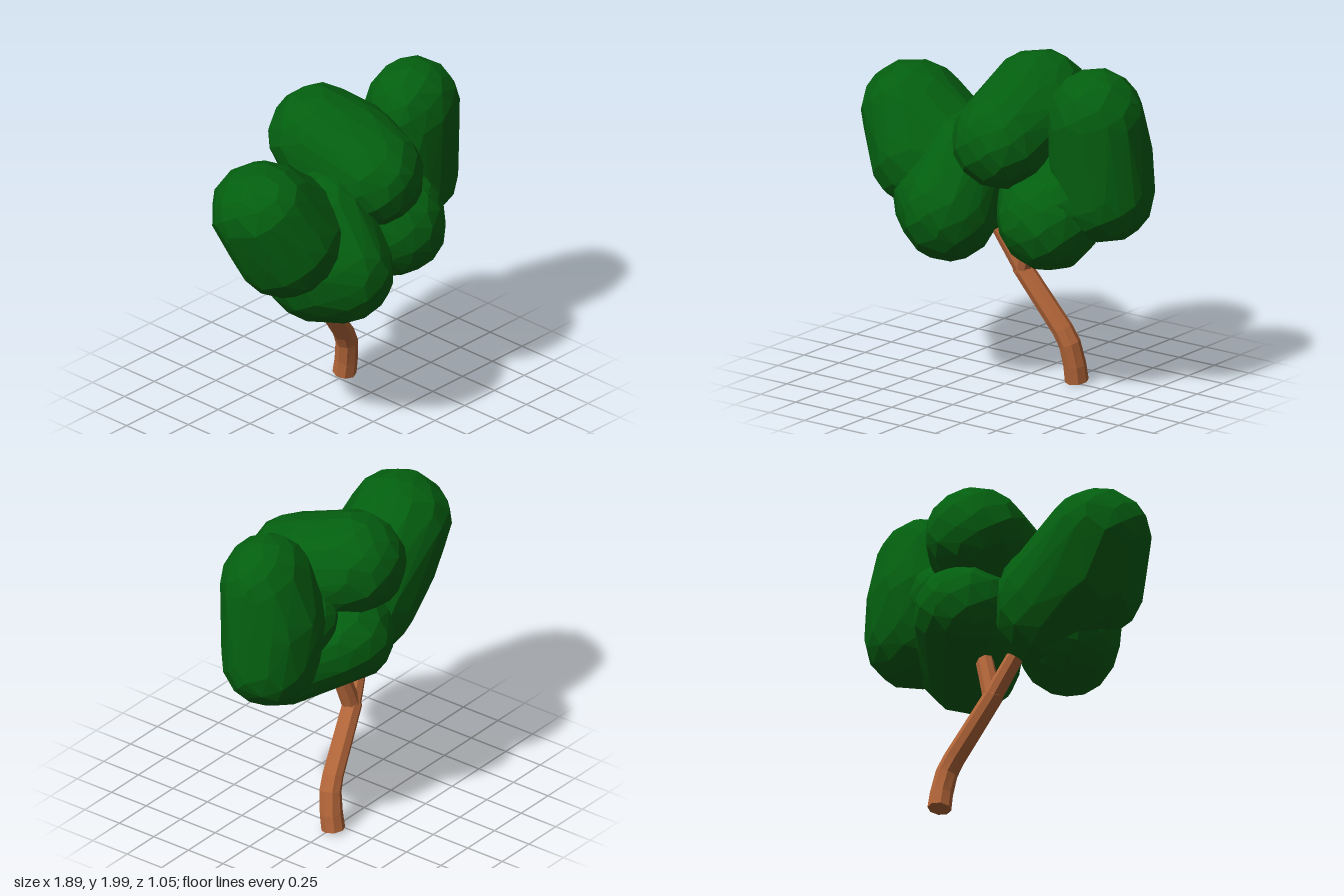
import * as THREE from 'three';
import { ConvexGeometry } from 'three/addons/geometries/ConvexGeometry.js';

const bark = new THREE.MeshStandardMaterial({ color: 0xb5673a, flatShading: true });
const leaf = new THREE.MeshStandardMaterial({ color: 0x045f10, flatShading: true });

function seeded(seed) {
  return () => {
    seed = (seed * 16807) % 2147483647;
    return seed / 2147483647;
  };
}

// Faceted hull wrapped round a few ellipsoids: [x, y, z, rx, ry, rz]
function foliage(name, seed, ellipsoids) {
  const rand = seeded(seed);
  const points = [];
  const count = 85;
  for (const [x, y, z, rx, ry, rz] of ellipsoids) {
    const spin = rand() * 6;
    for (let i = 0; i < count; i++) {
      const h = THREE.MathUtils.clamp(1 - (2 * (i + 0.2 + 0.6 * rand())) / count, -1, 1);
      const a = i * 2.39996 + spin + (rand() - 0.5) * 0.3;
      const s = Math.sqrt(1 - h * h);
      const k = 0.99 + rand() * 0.03;
      points.push(new THREE.Vector3(x + rx * k * s * Math.cos(a), y + ry * k * h, z + rz * k * s * Math.sin(a)));
    }
  }
  const mesh = new THREE.Mesh(new ConvexGeometry(points), leaf);
  mesh.name = name;
  return mesh;
}

// Capped eight-sided cylinder bent along a path, tapering from r0 to r1
function limb(name, path, r0, r1) {
  const curve = new THREE.CatmullRomCurve3(path.map((p) => new THREE.Vector3(...p)));
  const geometry = new THREE.CylinderGeometry(1, 1, 1, 8, path.length - 1);
  const pos = geometry.attributes.position;
  const v = new THREE.Vector3();
  const zAxis = new THREE.Vector3(0, 0, 1);
  for (let i = 0; i < pos.count; i++) {
    v.fromBufferAttribute(pos, i);
    const t = THREE.MathUtils.clamp(v.y + 0.5, 0, 1);
    const r = THREE.MathUtils.lerp(r0, r1, t);
    const tangent = curve.getTangent(t);
    const side = tangent.clone().cross(zAxis).normalize();
    const front = side.clone().cross(tangent);
    const p = curve.getPoint(t).addScaledVector(side, v.x * r).addScaledVector(front, v.z * r);
    pos.setXYZ(i, p.x, p.y, p.z);
  }
  geometry.computeVertexNormals();
  const mesh = new THREE.Mesh(geometry, bark);
  mesh.name = name;
  return mesh;
}

export function createModel() {
  const tree = new THREE.Group();
  tree.name = 'tree';

  // Leaning trunk that forks into two short branches
  tree.add(
    limb('trunk', [
      [0.313, 0.012, -0.268], [0.311, 0.11, -0.252], [0.291, 0.24, -0.23],
      [0.25, 0.32, -0.217], [0.122, 0.495, -0.19], [-0.005, 0.67, -0.163],
    ], 0.069, 0.058),
    limb('leftBranch', [[0.03, 0.62, -0.17], [-0.045, 0.75, -0.147], [-0.125, 0.89, -0.12]], 0.056, 0.05),
    limb('rightBranch', [[0.0, 0.64, -0.165], [0.05, 0.8, -0.145], [0.115, 1.0, -0.12]], 0.056, 0.052),
  );

  // Overlapping clumps of leaves
  tree.add(
    foliage('leftFoliage', 11, [
      [-0.65, 1.53, 0.0, 0.3, 0.29, 0.31],
      [-0.53, 1.31, 0.05, 0.32, 0.33, 0.34],
      [-0.28, 1.19, -0.01, 0.31, 0.36, 0.32],
    ]),
    foliage('frontFoliage', 71, [
      [-0.33, 1.1, 0.11, 0.31, 0.33, 0.31],
      [-0.23, 1.08, 0.22, 0.28, 0.32, 0.31],
      [-0.2, 1.36, 0.05, 0.25, 0.26, 0.28],
    ]),
    foliage('middleFoliage', 23, [
      [0.07, 1.66, -0.23, 0.3, 0.3, 0.3],
      [0.14, 1.6, -0.06, 0.3, 0.3, 0.3],
      [0.1, 1.53, 0.16, 0.29, 0.29, 0.29],
    ]),
    foliage('lowerFoliage', 37, [
      [0.37, 1.08, 0.07, 0.3, 0.3, 0.3],
      [0.16, 1.22, -0.22, 0.3, 0.28, 0.3],
    ]),
    foliage('innerFoliage', 89, [
      [0.42, 1.4, -0.12, 0.22, 0.22, 0.22],
      [0.46, 1.18, 0.02, 0.24, 0.24, 0.25],
    ]),
    foliage('rightFoliage', 53, [
      [0.63, 1.7, -0.03, 0.29, 0.3, 0.26],
      [0.62, 1.47, -0.08, 0.31, 0.3, 0.29],
      [0.65, 1.25, -0.08, 0.3, 0.29, 0.28],
    ]),
  );
  return tree;
}
